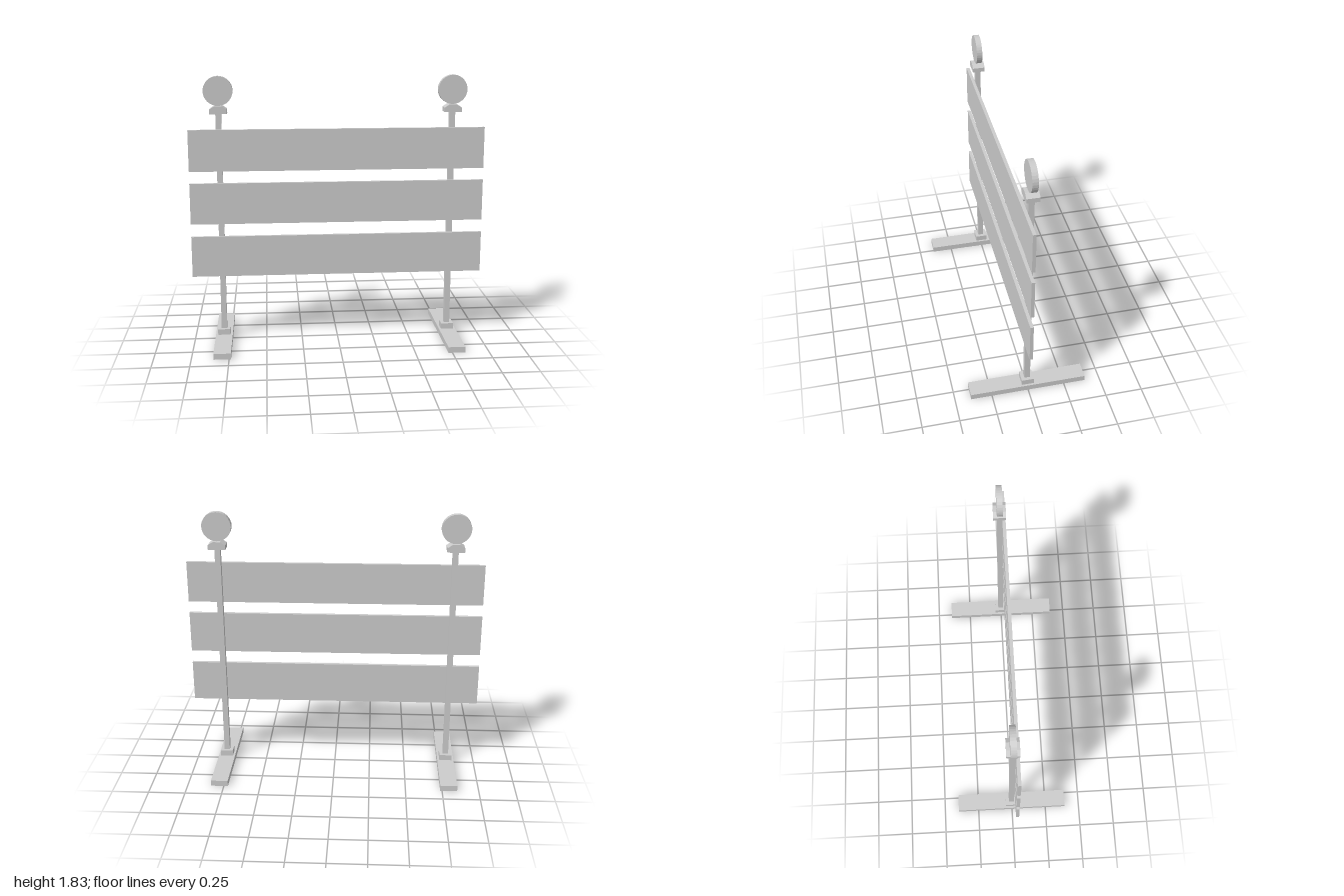
import * as THREE from 'three';

const material = new THREE.MeshStandardMaterial({ color: 0xcccccc, flatShading: true });

function addMesh(parent, name, geometry, x, y, z) {
  const mesh = new THREE.Mesh(geometry, material);
  mesh.name = name;
  mesh.position.set(x, y, z);
  parent.add(mesh);
  return mesh;
}

// Box given by its bottom and top heights, centred on x
function addBox(parent, name, width, bottom, top, depth, z = 0) {
  return addMesh(parent, name, new THREE.BoxGeometry(width, top - bottom, depth), 0, (bottom + top) / 2, z);
}

// Lamp mount: a block with chamfered shoulders
function lampMountGeometry(depth) {
  const shape = new THREE.Shape([
    [-0.058, 0], [0.058, 0], [0.058, 0.03], [0.025, 0.052], [-0.025, 0.052], [-0.058, 0.03],
  ].map(([x, y]) => new THREE.Vector2(x, y)));
  return new THREE.ExtrudeGeometry(shape, { depth, bevelEnabled: false }).translate(0, 0, -depth / 2);
}

function createStand(name, x) {
  const stand = new THREE.Group();
  stand.name = name;
  stand.position.set(x, 0, -0.002);
  addBox(stand, 'foot', 0.116, 0, 0.04, 0.79);
  addBox(stand, 'postSocket', 0.086, 0.04, 0.08, 0.084);
  addBox(stand, 'post', 0.038, 0.08, 1.585, 0.038);
  addMesh(stand, 'lampMount', lampMountGeometry(0.084), 0, 1.585, 0);
  const lamp = new THREE.CylinderGeometry(0.098, 0.098, 0.038, 32).rotateX(Math.PI / 2);
  addMesh(stand, 'warningLamp', lamp, 0, 1.735, 0);
  return stand;
}

export function createModel() {
  const model = new THREE.Group();
  model.name = 'barricade';

  // Two uprights with feet and lamps
  model.add(createStand('rightStand', -0.795), createStand('leftStand', 0.78));

  // Three boards fixed to the front of the posts
  [['lowerBoard', 0.467], ['middleBoard', 0.836], ['upperBoard', 1.199]].forEach(([name, bottom]) => {
    addBox(model, name, 2, bottom, bottom + 0.281, 0.022, 0.028);
  });
  return model;
}
